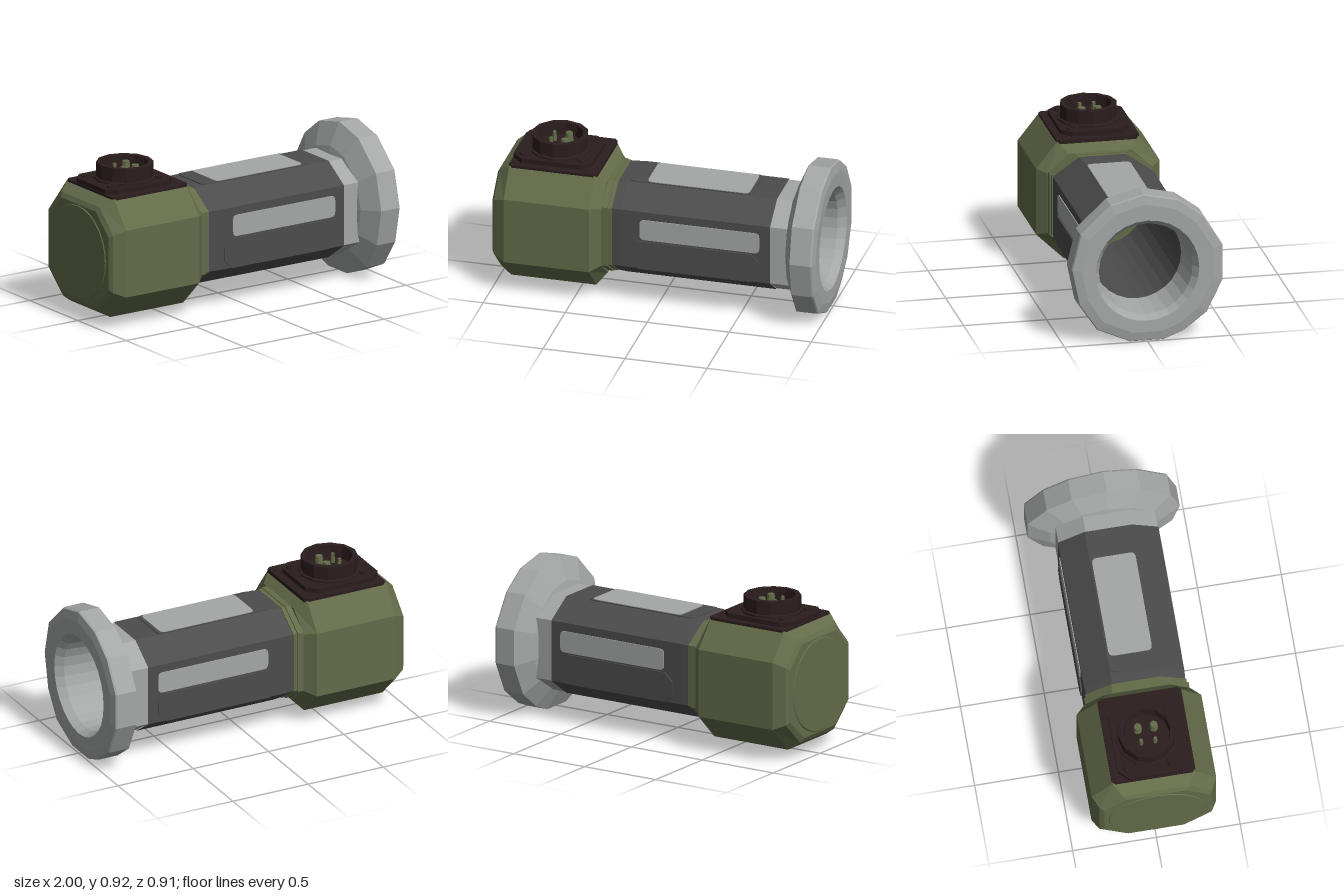
import * as THREE from 'three';

const mat = (name, color) => Object.assign(new THREE.MeshStandardMaterial({ color, flatShading: true }), { name });

// Cross-sections are lists of [z, y], counter-clockwise seen from +x.
// czLow sets the half width of the bottom flat when it differs from the top.
const octagon = (hz, hy, cz, cy, y0, czLow = cz) =>
  [[cz, hy], [hz, cy], [hz, -cy], [czLow, -hy], [-czLow, -hy], [-hz, -cy], [-hz, cy], [-cz, hy]].map(([z, y]) => [z, y + y0]);

const circle = (r, y0, n = 28) =>
  Array.from({ length: n }, (_, i) => [r * Math.sin(i / n * 2 * Math.PI), y0 + r * Math.cos(i / n * 2 * Math.PI)]);

// Skin a row of [x, section] rings (x rising for an outer skin, falling for a bore), with optional flat ends.
function loft(rings, capStart = false, capEnd = false) {
  const pos = [];
  const pt = (i, j) => {
    const [x, s] = rings[i];
    const [z, y] = s[j % s.length];
    return [x, y, z];
  };
  const n = rings[0][1].length, last = rings.length - 1;
  for (let i = 0; i < last; i++) {
    for (let j = 0; j < n; j++) {
      pos.push(...pt(i, j), ...pt(i, j + 1), ...pt(i + 1, j + 1));
      pos.push(...pt(i, j), ...pt(i + 1, j + 1), ...pt(i + 1, j));
    }
  }
  for (let j = 1; j < n - 1; j++) {
    if (capStart) pos.push(...pt(0, 0), ...pt(0, j + 1), ...pt(0, j));
    if (capEnd) pos.push(...pt(last, 0), ...pt(last, j), ...pt(last, j + 1));
  }
  const g = new THREE.BufferGeometry();
  g.setAttribute('position', new THREE.Float32BufferAttribute(pos, 3));
  g.computeVertexNormals();
  return g;
}

// Rectangle with cut or rounded corners, extruded towards +z.
function plate(x0, x1, y0, y1, r, depth, round = true) {
  const s = new THREE.Shape();
  const corner = (cx, cy, x, y) => (round ? s.quadraticCurveTo(cx, cy, x, y) : s.lineTo(x, y));
  s.moveTo(x0 + r, y0);
  s.lineTo(x1 - r, y0);
  corner(x1, y0, x1, y0 + r);
  s.lineTo(x1, y1 - r);
  corner(x1, y1, x1 - r, y1);
  s.lineTo(x0 + r, y1);
  corner(x0, y1, x0, y1 - r);
  s.lineTo(x0, y0 + r);
  corner(x0, y0, x0 + r, y0);
  return new THREE.ExtrudeGeometry(s, { depth, bevelEnabled: false, curveSegments: 3 });
}

export function createModel() {
  const model = new THREE.Group();
  model.name = 'cylindricalInstrument';
  const green = mat('olive green', 0x636b49);
  const grey = mat('light grey', 0xa4a7a6);
  const dark = mat('dark grey', 0x4c4c4d);
  const brown = mat('dark brown', 0x2b1d1e);

  const add = (name, geo, material, x = 0, y = 0, z = 0, parent = model) => {
    const m = new THREE.Mesh(geo, material);
    m.name = name;
    m.position.set(x, y, z);
    parent.add(m);
    return m;
  };
  const axis = 0.435;

  // Head housing with bevelled ends and round end cover
  const headFull = octagon(0.372, 0.365, 0.245, 0.205, 0.425, 0.205);
  add('head', loft([
    [-0.995, octagon(0.31, 0.29, 0.18, 0.16, 0.425, 0.165)],
    [-0.98, octagon(0.335, 0.318, 0.2, 0.175, 0.425, 0.18)],
    [-0.91, headFull], [-0.39, headFull],
    [-0.33, octagon(0.315, 0.3, 0.19, 0.185, 0.43, 0.17)],
  ], true, true), green);
  add('endCover', loft([[-1, circle(0.28, 0.425)], [-0.994, circle(0.285, 0.425)]], true), green);

  // Neck; its end face closes the bore
  const neck = octagon(0.302, 0.293, 0.145, 0.185, axis);
  add('neck', loft([[-0.335, neck], [-0.27, neck]], true, true), green);
  const rib = octagon(0.312, 0.298, 0.15, 0.19, axis);
  add('neckRib', loft([[-0.33, rib], [-0.295, rib]], true, true), green);

  // Octagonal barrel and its collar
  const barrel = octagon(0.3, 0.296, 0.14, 0.185, axis);
  add('barrel', loft([
    [-0.28, octagon(0.29, 0.285, 0.135, 0.18, axis)], [-0.27, octagon(0.296, 0.292, 0.138, 0.183, axis)],
    [-0.22, barrel], [0.695, barrel],
  ]), dark);
  const collar = octagon(0.297, 0.292, 0.135, 0.184, axis);
  add('collar', loft([[0.69, collar], [0.81, collar]]), grey);

  // Raised grips and light inlays on the two sides
  for (const side of [-1, 1]) {
    const at = (d, h) => (side > 0 ? d : -d - h);
    add('sideGrip', plate(-0.16, 0.63, 0.25, 0.43, 0.05, 0.012, false), dark, 0, 0, at(0.297, 0.012));
    add('sideInlay', plate(-0.1, 0.63, 0.44, 0.57, 0.03, 0.008), grey, 0, 0, at(0.297, 0.008));
  }

  // Top grip and inlay
  add('topGrip', plate(-0.2, 0.54, -0.137, 0.137, 0.03, 0.008), dark, 0, 0.728).rotation.x = -Math.PI / 2;
  add('topInlay', plate(-0.1, 0.52, -0.13, 0.13, 0.03, 0.009), grey, 0, 0.731).rotation.x = -Math.PI / 2;

  // Irregular faceted flange, continuing into the mouth of the bore
  const corners = [[0.02, 0.915], [0.22, 0.86], [0.4, 0.69], [0.455, 0.47], [0.41, 0.25], [0.3, 0.09], [0.1, 0.003],
    [-0.1, 0.003], [-0.22, 0.05], [-0.36, 0.155], [-0.455, 0.35], [-0.455, 0.57], [-0.34, 0.76], [-0.19, 0.87]];
  const outline = corners.flatMap((p, i) => {
    const q = corners[(i + 1) % corners.length];
    return [p, [(p[0] + q[0]) / 2, (p[1] + q[1]) / 2]];
  });
  const scaled = (k, y0 = 0.455) => outline.map(([z, y]) => [z * k, y0 + (y - 0.455) * k]);
  add('flange', loft([
    [0.785, scaled(0.61, 0.44)], [0.795, scaled(0.72, 0.445)], [0.855, scaled(1)], [0.98, scaled(1)], [0.99, scaled(0.988)],
    [1, scaled(0.87)], [0.998, circle(0.312, 0.442)], [0.95, circle(0.282, 0.438)], [0.7, circle(0.266, axis)],
  ]), grey);
  add('boreLining', loft([[0.7, circle(0.266, axis)], [-0.27, circle(0.262, axis)]]), dark);

  // Connector on top of the head
  const socket = new THREE.Group();
  socket.name = 'connector';
  socket.position.set(-0.665, 0, 0);
  model.add(socket);
  add('connectorBase', plate(-0.25, 0.288, -0.25, 0.25, 0.02, 0.033, false), brown, 0, 0.767, 0, socket).rotation.x = -Math.PI / 2;
  add('connectorPlate', plate(-0.245, 0.235, -0.205, 0.205, 0.06, 0.03, false), brown, 0, 0.798, 0, socket).rotation.x = -Math.PI / 2;
  const cup = [[0.185, 0.825], [0.185, 0.837], [0.17, 0.842], [0.17, 0.925], [0.14, 0.925], [0.135, 0.85], [0, 0.85]];
  add('connectorCup', new THREE.LatheGeometry(cup.map(([r, y]) => new THREE.Vector2(r, y)), 12), brown, 0, 0, 0, socket);
  for (const [sx, sz] of [[-1, -1], [-1, 1], [1, 1]]) {
    add('screw', new THREE.CylinderGeometry(0.036, 0.04, 0.015, 10), brown, sx * 0.175, 0.832, sz * 0.13, socket);
    add('screwSlot', new THREE.BoxGeometry(0.05, 0.004, 0.012), brown, sx * 0.175, 0.841, sz * 0.13, socket).rotation.y = 0.6;
  }
  for (const sz of [-1, 1]) {
    add('largePin', new THREE.CylinderGeometry(0.022, 0.027, 0.06, 8), green, 0.042, 0.88, sz * 0.048, socket);
    add('smallPin', new THREE.CylinderGeometry(0.011, 0.014, 0.06, 6), green, -0.045, 0.88, sz * 0.042, socket);
  }
  return model;
}
